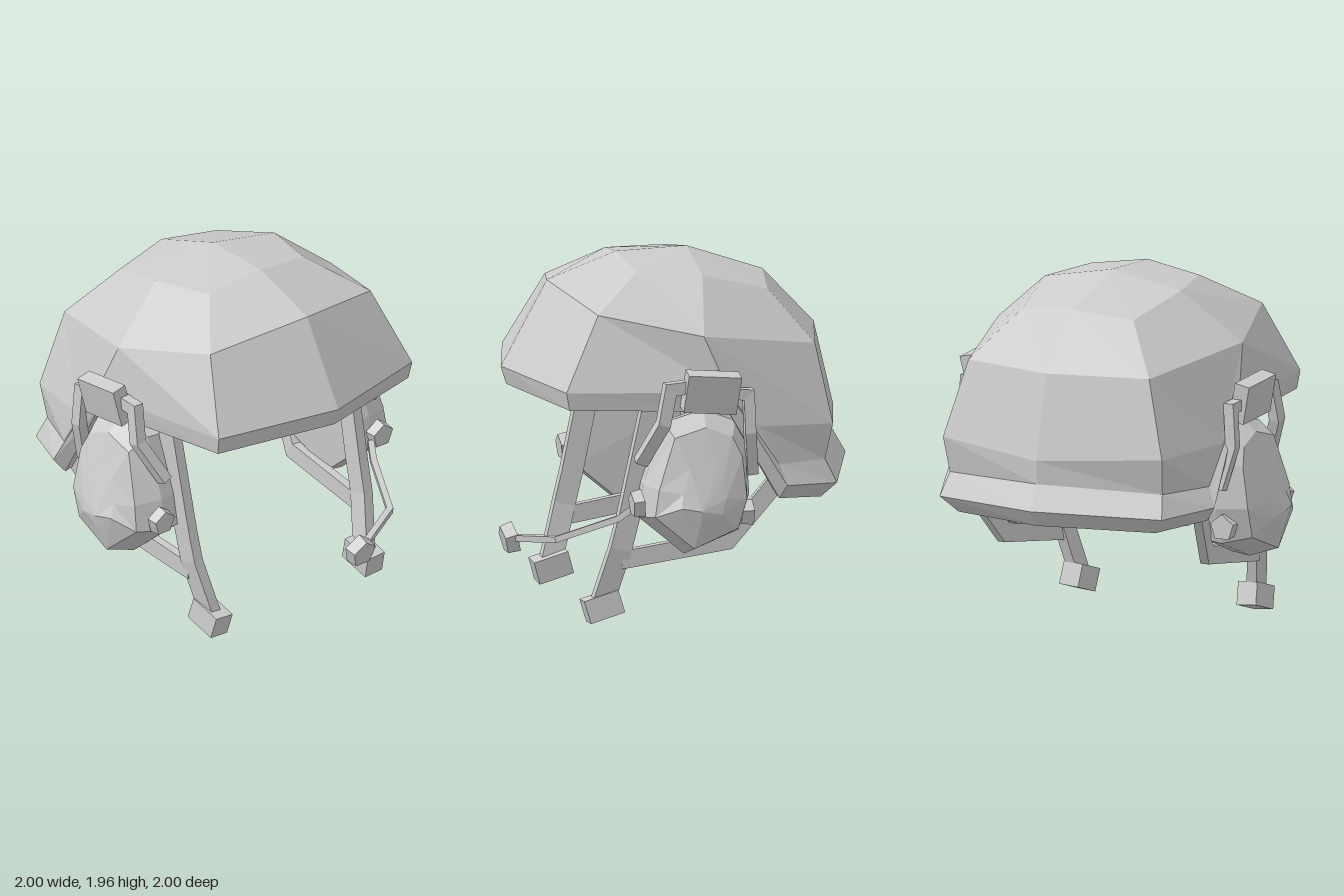
import * as THREE from 'three';

const mat = new THREE.MeshStandardMaterial({ color: 0xcccccc, flatShading: true });
const V = (x, y, z) => new THREE.Vector3(x, y, z);

// Skin closed rings of points into a faceted surface, skipping collapsed triangles
function loft(rings) {
  const pos = [];
  const tri = (a, b, c) => {
    if (b.clone().sub(a).cross(c.clone().sub(a)).length() > 1e-6)
      for (const p of [a, b, c]) pos.push(p.x, p.y, p.z);
  };
  for (let i = 0; i + 1 < rings.length; i++) {
    const n = rings[i].length;
    for (let j = 0; j < n; j++) {
      const k = (j + 1) % n;
      tri(rings[i][j], rings[i + 1][j], rings[i + 1][k]);
      tri(rings[i][j], rings[i + 1][k], rings[i][k]);
    }
  }
  const g = new THREE.BufferGeometry();
  g.setAttribute('position', new THREE.Float32BufferAttribute(pos, 3));
  g.computeVertexNormals();
  return g;
}

const point = (p, n) => Array(n).fill(p);

// Rectangular bar with mitred bends; w lies across ref, t lies along ref
function beam(path, ref, w, t) {
  const last = path.length - 1;
  const dirs = path.slice(1).map((p, i) => p.clone().sub(path[i]).normalize());
  const n = dirs[0].clone().cross(ref).normalize();
  const m = n.clone().cross(dirs[0]);
  const rings = [[[1, 1], [-1, 1], [-1, -1], [1, -1]].map(([a, b]) =>
    path[0].clone().addScaledVector(n, a * w / 2).addScaledVector(m, b * t / 2))];
  for (let i = 1; i <= last; i++) {
    const d = dirs[i - 1];
    const plane = d.clone().add(dirs[Math.min(i, last - 1)]);
    rings.push(rings[i - 1].map(c =>
      c.clone().addScaledVector(d, path[i].clone().sub(c).dot(plane) / d.dot(plane))));
  }
  return loft([point(path[0], 4), ...rings, point(path[last], 4)]);
}

function box(w, h, d, x, y, z, rx, rz) {
  return new THREE.BoxGeometry(w, h, d).rotateZ(rz).rotateX(rx).translate(x, y, z);
}

// Five-sided plug facing the front, one corner up
function plug(r, depth, x, y, z, tilt) {
  return new THREE.CylinderGeometry(r * 0.9, r, depth, 5)
    .rotateY(Math.PI).rotateX(Math.PI / 2 + tilt).translate(x, y, z);
}

// Mirror across x = 0, keeping faces outward
function mirrored(geo) {
  const g = geo.index ? geo.toNonIndexed() : geo.clone();
  g.scale(-1, 1, 1);
  const p = g.attributes.position;
  for (let i = 0; i < p.count; i += 3) {
    const b = V().fromBufferAttribute(p, i + 1), c = V().fromBufferAttribute(p, i + 2);
    p.setXYZ(i + 1, c.x, c.y, c.z);
    p.setXYZ(i + 2, b.x, b.y, b.z);
  }
  g.computeVertexNormals();
  return g;
}

// Helmet half-rings: front, front corner, side, rear side, back corner, back
const SHELL = [
  [[0, 1.95, .30], [.34, 1.90, .27], [.43, 1.88, -.08], [.43, 1.88, -.08], [.35, 1.77, -.47], [0, 1.81, -.53]],
  [[0, 1.81, .69], [.58, 1.72, .55], [.77, 1.61, 0], [.77, 1.61, 0], [.57, 1.50, -.68], [0, 1.50, -.82]],
  [[0, 1.34, .95], [.70, 1.32, .76], [.82, 1.30, -.13], [.81, 1.10, -.30], [.69, 1.07, -.75], [0, 1.03, -.93]],
  [[0, 1.34, .95], [.70, 1.32, .76], [.82, 1.30, -.13], [.80, .88, -.42], [.67, .87, -.71], [0, .90, -.92]],
  [[0, 1.34, .95], [.70, 1.32, .76], [.82, 1.30, -.13], [.85, .77, -.45], [.70, .74, -.77], [0, .76, -1]],
  [[0, 1.24, .92], [.69, 1.22, .74], [.80, 1.19, -.13], [.79, .69, -.42], [.62, .65, -.70], [0, .67, -.93]],
];
const LINING = [
  [[0, 1.24, .88], [.64, 1.23, .69], [.74, 1.20, -.13], [.73, .71, -.41], [.57, .68, -.66], [0, .70, -.87]],
  [[0, 1.35, .85], [.62, 1.33, .66], [.73, 1.30, -.08], [.70, 1.15, -.35], [.46, 1.10, -.62], [0, 1.14, -.78]],
  [[0, 1.74, .62], [.52, 1.66, .49], [.70, 1.56, -.02], [.70, 1.56, -.02], [.42, 1.48, -.54], [0, 1.48, -.68]],
];
const fullRing = half => {
  const left = half.map(p => V(...p));
  const right = half.slice(1, -1).reverse().map(([x, y, z]) => V(-x, y, z));
  return [...left, ...right];
};

// Ear cup outline as [z, y], with the depths of its bulge and shoulder
const CUP = [[.37, .62], [.11, .40], [-.20, .52], [-.26, .72], [-.24, 1.0], [-.18, 1.13], [0, 1.20], [.22, 1.14], [.34, .80]];
const BULGE = [.98, .985, .98, .965, .935, .92, .91, .92, .95];
const SHOULDER = [.91, .94, .92, .92, .88, .86, .85, .86, .90];
function earCup() {
  const ring = (s, depths) => CUP.map(([z, y], i) =>
    V(depths[i], .75 + (y - .75) * s, .05 + (z - .05) * s));
  return loft([
    point(V(1, .68, .07), 9), ring(.4, BULGE), ring(.82, SHOULDER), ring(1, point(.75, 9)),
    ring(.96, point(.65, 9)), point(V(.63, .78, .05), 9),
  ]);
}

export function createModel() {
  const model = new THREE.Group();
  model.name = 'helmet';
  const add = (name, geo, parent = model) => {
    const m = new THREE.Mesh(geo, mat);
    m.name = name;
    parent.add(m);
  };

  add('helmetShell', loft([
    point(V(0, 1.96, -.10), 10), ...SHELL.map(fullRing), ...LINING.map(fullRing), point(V(0, 1.88, -.10), 10),
  ]));

  // Parts repeated on both sides, defined on the left
  const X = V(1, 0, 0);
  const sideParts = {
    earCup: earCup(),
    earCupMount: box(.09, .22, .30, .845, 1.315, -.02, -.09, -.22),
    frontArm: beam([V(.83, 1.35, .08), V(.83, 1.34, .21), V(.845, 1.15, .25), V(.735, .92, .35)], X, .07, .06),
    rearArm: beam([V(.83, 1.30, -.12), V(.83, 1.29, -.235), V(.845, 1.08, -.24), V(.78, .84, -.27)], X, .06, .06),
    frontPivot: plug(.08, .06, .79, .70, .385, .1),
    rearPivot: plug(.075, .07, .79, .62, -.23, 0),
    frontStrap: beam([V(.635, 1.26, .25), V(.62, .60, .39), V(.615, .42, .435), V(.56, .12, .52)], X, .12, .06),
    rearStrap: beam([V(.61, .355, .43), V(.64, .44, -.165), V(.74, .80, -.44)], X, .10, .05),
    buckle: box(.12, .13, .20, .555, .09, .52, .28, .08),
  };
  for (const side of ['left', 'right']) {
    const group = new THREE.Group();
    group.name = side + 'Side';
    for (const [name, geo] of Object.entries(sideParts))
      add(name, side === 'left' ? geo : mirrored(geo), group);
    model.add(group);
  }

  // Microphone on the left side
  add('microphoneBoom', beam(
    [V(.73, .67, .38), V(.68, .60, .46), V(.53, .47, .77), V(.20, .42, .93)], V(0, 1, 0), .035, .035));
  add('microphone', plug(.09, .07, .165, .41, .945, .25));
  return model;
}
